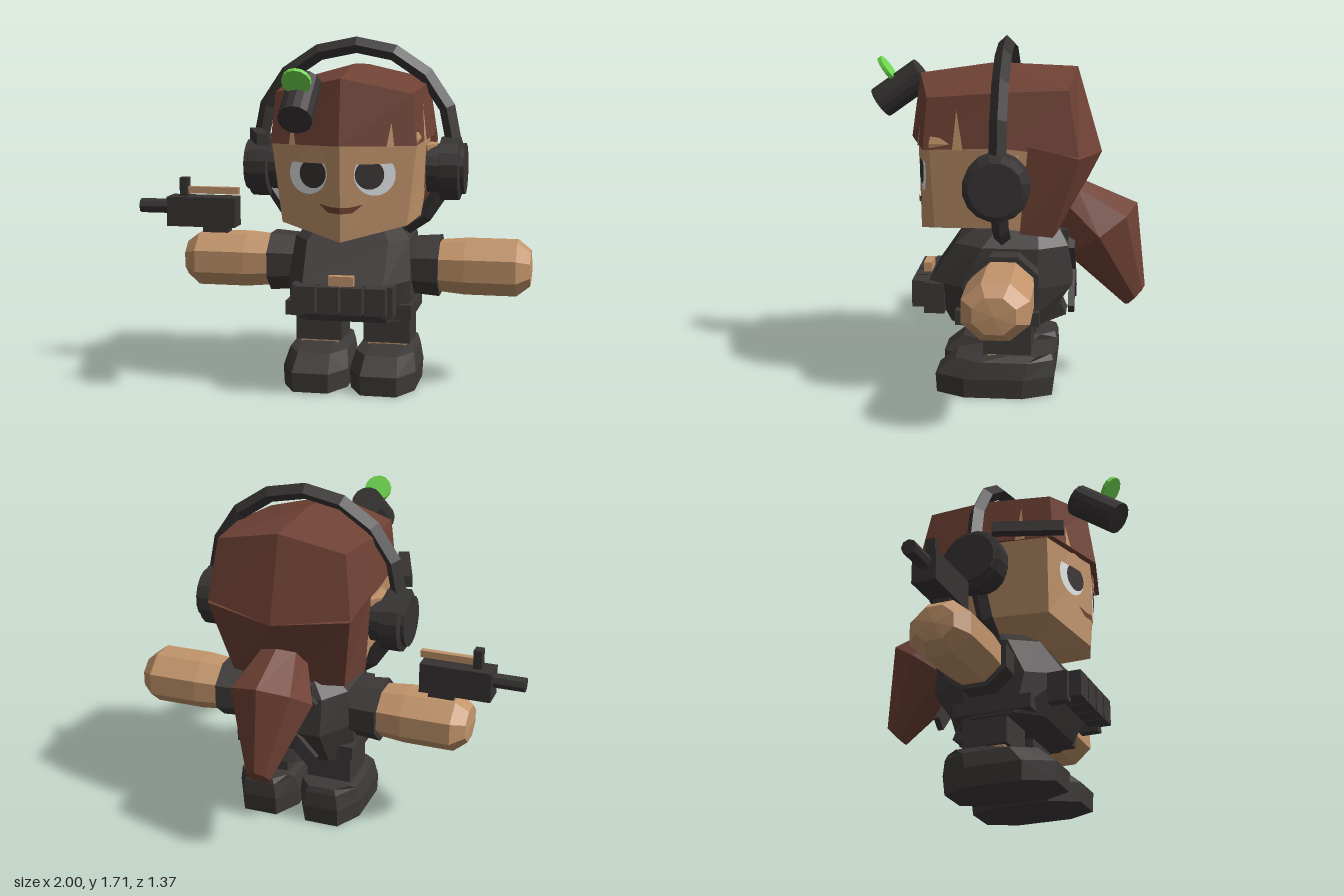
import * as THREE from 'three';

const mat = (name, color) => {
  const m = new THREE.MeshStandardMaterial({ color });
  m.name = name;
  return m;
};

// Faceted copy of a geometry: every face keeps its own normal
function facet(geo) {
  const g = geo.index ? geo.toNonIndexed() : geo;
  g.computeVertexNormals();
  return g;
}

// Closed solid from mirrored half cross-sections, listed bottom to top, each running front to back
function loft(halves, apex) {
  const rings = halves.map((h) => [
    ...h,
    ...h.filter((p) => p[0] > 0).reverse().map(([x, y, z]) => [-x, y, z]),
  ]);
  const n = rings[0].length;
  const pos = [];
  const tri = (...pts) => pts.forEach((p) => pos.push(...p));
  const mid = (r) => [0, 1, 2].map((k) => r.reduce((s, p) => s + p[k], 0) / n);
  const low = rings[0], high = rings[rings.length - 1];
  const lowMid = mid(low), highMid = apex || mid(high);
  for (let i = 0; i < n; i++) {
    const j = (i + 1) % n;
    for (let r = 0; r < rings.length - 1; r++) {
      const a = rings[r], b = rings[r + 1];
      tri(a[i], a[j], b[j]);
      tri(a[i], b[j], b[i]);
    }
    tri(low[j], low[i], lowMid);
    tri(high[i], high[j], highMid);
  }
  const g = new THREE.BufferGeometry();
  g.setAttribute('position', new THREE.Float32BufferAttribute(pos, 3));
  return facet(g);
}

// Half of a flat octagonal section
function octagon(y, w, front, back, cut = 0.55) {
  const c = (front + back) / 2, h = (front - back) / 2;
  return [[w * cut, y, c + h], [w, y, c + h * 0.5], [w, y, c - h * 0.5], [w * cut, y, c - h]];
}

// Half of a tilted oval section between a front and a back point, each [y, z]
function oval([fy, fz], [by, bz], w) {
  return [0, 1, 2, 3, 4].map((i) => {
    const a = (i * Math.PI) / 4, t = (1 - Math.cos(a)) / 2;
    return [i % 4 ? w * Math.sin(a) : 0, fy + (by - fy) * t, fz + (bz - fz) * t];
  });
}

export function createModel() {
  const skin = mat('skin', 0xc2946b);
  const hair = mat('hair', 0x704235);
  const cloth = mat('dark cloth', 0x3d3938);
  const metal = mat('dark metal', 0x373333);
  const white = mat('eye white', 0xe0e4e6);
  const pupilMat = mat('pupil', 0x393433);
  const lip = mat('lips', 0x70422f);
  const green = mat('green lens', 0x6fd94f);

  const root = new THREE.Group();
  root.name = 'character';
  const body = new THREE.Group();
  body.name = 'body';
  body.position.x = 0.127;
  root.add(body);

  const add = (parent, name, geo, material, x = 0, y = 0, z = 0) => {
    const m = new THREE.Mesh(facet(geo), material);
    m.name = name;
    m.position.set(x, y, z);
    parent.add(m);
    return m;
  };
  const box = (parent, name, material, w, h, d, x, y, z) =>
    add(parent, name, new THREE.BoxGeometry(w, h, d), material, x, y, z);
  // Turned part lying along +x; profile is [radius, x]
  const turned = (parent, name, material, profile, sides, y, z, depth = 1) => {
    const g = new THREE.LatheGeometry(profile.map((p) => new THREE.Vector2(...p)), sides);
    g.rotateY(Math.PI / sides).rotateZ(-Math.PI / 2).scale(1, 1, depth);
    return add(parent, name, g, material, 0, y, z);
  };

  // Torso
  add(body, 'torso', loft([
    octagon(0.35, 0.3, 0.25, -0.2, 0.65),
    octagon(0.55, 0.3, 0.36, -0.33, 0.65),
    octagon(0.74, 0.285, 0.23, -0.31, 0.7),
    octagon(0.82, 0.2, 0.12, -0.26, 0.7),
  ]), cloth);
  for (const s of [1, -1]) {
    const strap = box(body, 'backStrap', cloth, 0.07, 0.46, 0.03, 0, 0.58, -0.325);
    strap.rotation.z = s * 0.75;
  }
  box(body, 'beltKnot', cloth, 0.14, 0.06, 0.1, 0.02, 0.37, -0.24).rotation.x = 0.4;
  box(body, 'collarClip', cloth, 0.3, 0.05, 0.06, 0, 0.78, -0.28);
  box(body, 'belt', cloth, 0.62, 0.07, 0.4, 0, 0.4, 0.02);

  // Belt pouches and buckle
  for (const x of [-0.168, -0.056, 0.056, 0.168]) {
    box(body, 'pouch', cloth, 0.1, 0.13, 0.11, x, 0.488, 0.385);
  }
  for (const x of [-0.22, 0.22]) box(body, 'sidePouch', cloth, 0.05, 0.15, 0.1, x, 0.475, 0.33);
  box(body, 'buckle', skin, 0.12, 0.05, 0.04, 0, 0.575, 0.385);

  // Head
  add(body, 'head', loft([
    [[0, 0.765, 0.42], [0.3, 0.84, 0.315], [0.33, 0.85, 0], [0.3, 0.83, -0.1], [0, 0.77, -0.1]],
    [[0, 1.25, 0.43], [0.35, 1.25, 0.33], [0.37, 1.25, 0], [0.35, 1.25, -0.15], [0, 1.25, -0.15]],
    [[0, 1.42, 0.39], [0.31, 1.42, 0.3], [0.33, 1.42, 0], [0.31, 1.42, -0.15], [0, 1.42, -0.15]],
  ]), skin);

  // Hair: crown, back and ponytail
  add(body, 'hairCrown', loft([
    [[0, 1.22, 0.46], [0.345, 1.22, 0.36], [0.385, 1.24, 0], [0.36, 1.2, -0.36], [0, 1.16, -0.46]],
    [[0, 1.53, 0.415], [0.325, 1.46, 0.34], [0.35, 1.49, 0], [0.32, 1.5, -0.31], [0, 1.57, -0.34]],
  ], [0, 1.585, 0.05]), hair);
  add(body, 'hairBack', loft([
    [[0, 0.79, -0.09], [0.345, 0.83, -0.09], [0.29, 0.8, -0.24], [0, 0.78, -0.27]],
    [[0, 1.25, -0.13], [0.382, 1.25, -0.13], [0.36, 1.19, -0.365], [0, 1.16, -0.46]],
  ]), hair);
  add(body, 'ponytail', loft([
    oval([0.395, -0.585], [0.495, -0.68], 0.06),
    oval([0.66, -0.28], [0.91, -0.635], 0.21),
    oval([0.84, -0.21], [1.02, -0.37], 0.12),
  ]), hair);

  // Headset band
  const band = new THREE.TorusGeometry(0.485, 0.04, 4, 16);
  band.rotateZ(Math.PI / 2);
  add(body, 'headsetBand', band, metal, 0, 1.19, 0);

  // Flat plates laid on the slanted half of the face
  const faceTurn = 0.278;
  const plate = (side, name, material, shape, x, y, lift) => {
    const holder = new THREE.Group();
    holder.name = name + 'Holder';
    holder.position.set(0, 0, 0.428 + lift);
    holder.rotation.y = faceTurn;
    side.add(holder);
    add(holder, name, new THREE.ShapeGeometry(shape, 14), material, x / Math.cos(faceTurn), y, 0);
  };
  const arc = (r, a0, a1) => new THREE.Shape().absarc(0, 0, r, a0, a1, false);
  const mouth = new THREE.Shape();
  mouth.moveTo(0, 0.93).lineTo(0, 0.9).lineTo(0.06, 0.905).lineTo(0.11, 0.945).lineTo(0.05, 0.932);

  // Paired parts
  for (const s of [1, -1]) {
    const side = new THREE.Group();
    side.name = s > 0 ? 'leftSide' : 'rightSide';
    side.scale.x = s;
    body.add(side);

    // Arm and sleeve
    turned(side, 'sleeve', cloth,
      [[0, 0.2], [0.135, 0.2], [0.145, 0.3], [0.155, 0.425], [0, 0.425]], 8, 0.595, -0.02, 1.15);
    turned(side, 'arm', skin,
      [[0, 0.35], [0.128, 0.4], [0.142, 0.55], [0.142, 0.8], [0.09, 0.865], [0, 0.873]], 8, 0.595, -0.02, 1.16);

    // Leg, ankle and boot
    box(side, 'leg', cloth, 0.23, 0.18, 0.23, 0.17, 0.305, -0.025);
    box(side, 'ankle', skin, 0.19, 0.06, 0.19, 0.17, 0.2, -0.025);
    add(side, 'boot', loft([
      octagon(0.005, 0.158, 0.32, -0.24),
      octagon(0.1, 0.163, 0.325, -0.25),
      octagon(0.18, 0.145, 0.23, -0.245),
      octagon(0.21, 0.125, 0.03, -0.235),
    ]), cloth, 0.167);

    // Ear and headset cup
    const ear = new THREE.CylinderGeometry(0.11, 0.06, 0.22, 6);
    ear.scale(0.45, 1, 0.8);
    add(side, 'ear', ear, skin, 0.365, 1.09, 0);
    turned(side, 'headsetCup', metal,
      [[0, 0.36], [0.12, 0.36], [0.12, 0.42], [0.155, 0.425], [0.155, 0.515], [0.125, 0.525], [0.125, 0.543], [0, 0.543]],
      16, 1.08, 0.005);

    // Eye and half of the mouth
    plate(side, 'eyeWhite', white, arc(0.098, -Math.PI - 0.55, 0.55), 0.158, 1.085, 0.003);
    plate(side, 'pupil', pupilMat, arc(0.069, 0, Math.PI * 2), 0.135, 1.085, 0.007);
    plate(side, 'eyelid', skin, arc(0.082, 0, Math.PI), 0.137, 1.135, 0.01);
    plate(side, 'mouth', lip, mouth, 0, 0, 0.003);

    // Notches in the fringe
    const notch = (a, b, c) => {
      const pts = [a, b, c, c, b, a].map((p) => new THREE.Vector3(...p));
      add(side, 'fringeNotch', new THREE.BufferGeometry().setFromPoints(pts), skin);
    };
    notch([0.215, 1.218, 0.404], [0.25, 1.218, 0.394], [0.235, 1.33, 0.384]);
    notch([0.367, 1.225, 0.22], [0.371, 1.225, 0.17], [0.356, 1.41, 0.2]);
  }

  // Headset microphone
  box(root, 'microphone', metal, 0.055, 0.055, 0.35, -0.3, 1.243, 0.26).rotation.y = 0.35;

  // Head lamp with raised lens
  const tilt = -0.95;
  add(root, 'headLamp', new THREE.CylinderGeometry(0.08, 0.08, 0.26, 14), metal, -0.037, 1.43, 0.535).rotation.x = tilt;
  add(root, 'lampLens', new THREE.CylinderGeometry(0.068, 0.068, 0.02, 14), green, -0.037, 1.525, 0.605).rotation.x = tilt;

  // Blaster above the right hand
  const gun = new THREE.Group();
  gun.name = 'blaster';
  gun.position.z = -0.025;
  root.add(gun);
  box(gun, 'blasterBody', metal, 0.355, 0.15, 0.12, -0.667, 0.83, 0);
  box(gun, 'blasterGrip', metal, 0.13, 0.1, 0.08, -0.595, 0.71, 0);
  box(gun, 'blasterSight', metal, 0.042, 0.1, 0.05, -0.765, 0.95, 0);
  box(gun, 'blasterRail', skin, 0.265, 0.035, 0.03, -0.612, 0.937, 0);
  const barrel = new THREE.CylinderGeometry(0.037, 0.037, 0.165, 8);
  barrel.rotateZ(Math.PI / 2);
  add(gun, 'blasterBarrel', barrel, metal, -0.917, 0.85, 0);

  return root;
}
